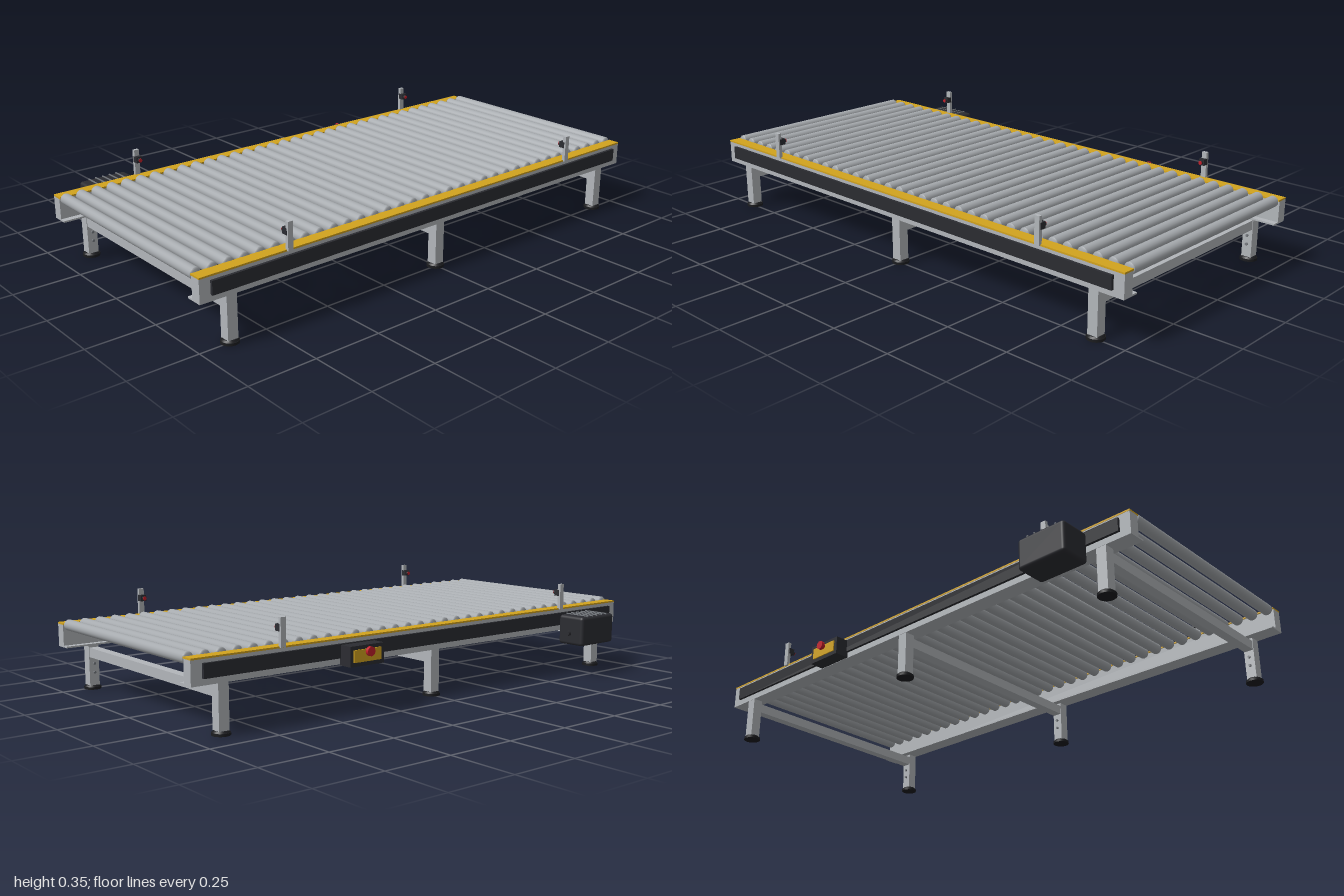
import * as THREE from 'three';
import { RoundedBoxGeometry } from 'three/addons/geometries/RoundedBoxGeometry.js';

const mat = (name, color) => {
  const m = new THREE.MeshStandardMaterial({ color });
  m.name = name;
  return m;
};

export function createModel() {
  const steel = mat('frame steel', 0xb2b6ba);
  const rollerSteel = mat('roller steel', 0xa6aaae);
  const boltSteel = mat('bolt steel', 0x777b80);
  const yellow = mat('safety yellow', 0xd2a31e);
  const black = mat('dark plastic', 0x2b2c31);
  const rubber = mat('foot rubber', 0x1b1c1f);
  const red = mat('signal red', 0xc21f2b);

  const model = new THREE.Group();
  const add = (parent, name, geometry, material, x, y, z) => {
    const mesh = new THREE.Mesh(geometry, material);
    mesh.name = name;
    mesh.position.set(x, y, z);
    parent.add(mesh);
    return mesh;
  };
  const group = (name) => {
    const g = new THREE.Group();
    g.name = name;
    model.add(g);
    return g;
  };
  // box given by its limits on each axis
  const box = (parent, name, material, [x0, x1], [y0, y1], [z0, z1]) =>
    add(parent, name, new THREE.BoxGeometry(x1 - x0, y1 - y0, Math.abs(z1 - z0)), material,
      (x0 + x1) / 2, (y0 + y1) / 2, (z0 + z1) / 2);
  // cylinder lying along z
  const discZ = (r, depth, seg = 24) => new THREE.CylinderGeometry(r, r, depth, seg).rotateX(Math.PI / 2);

  const midZ = 0.0575; // centre line of the roller bed
  const legX = [-0.885, 0, 0.885];

  // rollers with chamfered ends
  const rollers = group('rollers');
  const half = 0.415;
  const profile = [[0, -half], [0.016, -half], [0.02, -half + 0.006], [0.02, half - 0.006], [0.016, half], [0, half]];
  const tube = new THREE.CylinderGeometry(0.02, 0.02, 2 * half - 0.012, 20, 1, true).rotateX(Math.PI / 2);
  const endGeo = new THREE.LatheGeometry(profile.slice(3).map(p => new THREE.Vector2(...p)), 20).rotateX(Math.PI / 2);
  const shaft = discZ(0.007, 2 * half + 0.02, 10);
  for (let i = 0; i < 34; i++) {
    const x = -0.98 + (i * 1.96) / 33;
    add(rollers, 'roller', tube, rollerSteel, x, 0.249, midZ);
    add(rollers, 'rollerShaft', shaft, boltSteel, x, 0.249, midZ);
    add(rollers, 'rollerEnd', endGeo, rollerSteel, x, 0.249, midZ);
    add(rollers, 'rollerEnd', endGeo, rollerSteel, x, 0.249, midZ).rotation.y = Math.PI;
  }

  // both sides; s points outwards from the bed
  for (const s of [1, -1]) {
    const side = group(s > 0 ? 'frontSide' : 'rearSide');
    const z = (d) => midZ + s * d; // d is the distance from the centre line
    box(side, 'rail', steel, [-1, 1], [0.17, 0.25], [z(0.418), z(0.458)]);
    box(side, 'railBottomFlange', steel, [-1, 1], [0.168, 0.174], [z(0.394), z(0.458)]);
    box(side, 'guardStrip', yellow, [-1, 1], [0.25, 0.256], [z(0.414), z(0.459)]);
    box(side, 'sideCover', black, [-0.96, 0.96], [0.19, 0.238], [z(0.458), z(0.468)]);

    for (const x of legX) {
      box(side, 'leg', steel, [x - 0.019, x + 0.019], [0.014, 0.172], [z(0.419), z(0.457)]);
      add(side, 'footPad', new THREE.CylinderGeometry(0.031, 0.031, 0.009, 24), rubber, x, 0.0045, z(0.438));
      add(side, 'footCollar', new THREE.CylinderGeometry(0.024, 0.029, 0.006, 24), rubber, x, 0.012, z(0.438));
      for (const y of [0.063, 0.096])
        add(side, 'legBolt', discZ(0.005, 0.008, 10), boltSteel, x, y, z(0.417));
    }

    // sensor posts with inward facing eyes
    for (const x of [-0.665, 0.665]) {
      box(side, 'sensorPost', steel, [x - 0.01, x + 0.01], [0.252, 0.35], [z(0.453), z(0.466)]);
      box(side, 'sensorBody', black, [x - 0.011, x + 0.011], [0.304, 0.327], [z(0.437), z(0.46)]);
      add(side, 'sensorEye', discZ(0.008, 0.008, 16), black, x, 0.315, z(0.434));
      add(side, 'sensorLens', discZ(0.007, 0.003, 16), red, x, 0.315, z(0.429));
    }
  }

  // cross members between the legs
  const frame = group('crossMembers');
  for (const x of legX)
    box(frame, 'crossMember', steel, [x - 0.017, x + 0.017], [0.121, 0.156], [-0.362, 0.477]);

  // drive motor with cooling fins
  const motor = group('driveMotor');
  add(motor, 'motorHousing', new RoundedBoxGeometry(0.188, 0.113, 0.117, 3, 0.012), black, -0.746, 0.176, -0.467);
  add(motor, 'motorFlange', discZ(0.05, 0.014, 32), steel, -0.746, 0.18, -0.405);
  for (let i = 0; i < 5; i++) {
    const x = -0.802 + i * 0.028;
    box(motor, 'coolingFin', boltSteel, [x - 0.002, x + 0.002], [0.225, 0.236], [-0.52, -0.415]);
  }
  add(motor, 'cableGland', new THREE.CylinderGeometry(0.01, 0.01, 0.016, 16).rotateZ(Math.PI / 2), black, -0.646, 0.165, -0.462);

  // control box with emergency stop
  const control = group('controlBox');
  box(control, 'controlHousing', black, [0.292, 0.436], [0.166, 0.235], [-0.46, -0.405]);
  box(control, 'controlPlate', yellow, [0.306, 0.422], [0.18, 0.222], [-0.464, -0.46]);
  add(control, 'stopButtonStem', discZ(0.01, 0.012), red, 0.364, 0.215, -0.468);
  add(control, 'stopButton', discZ(0.016, 0.012), red, 0.364, 0.215, -0.477);

  return model;
}
